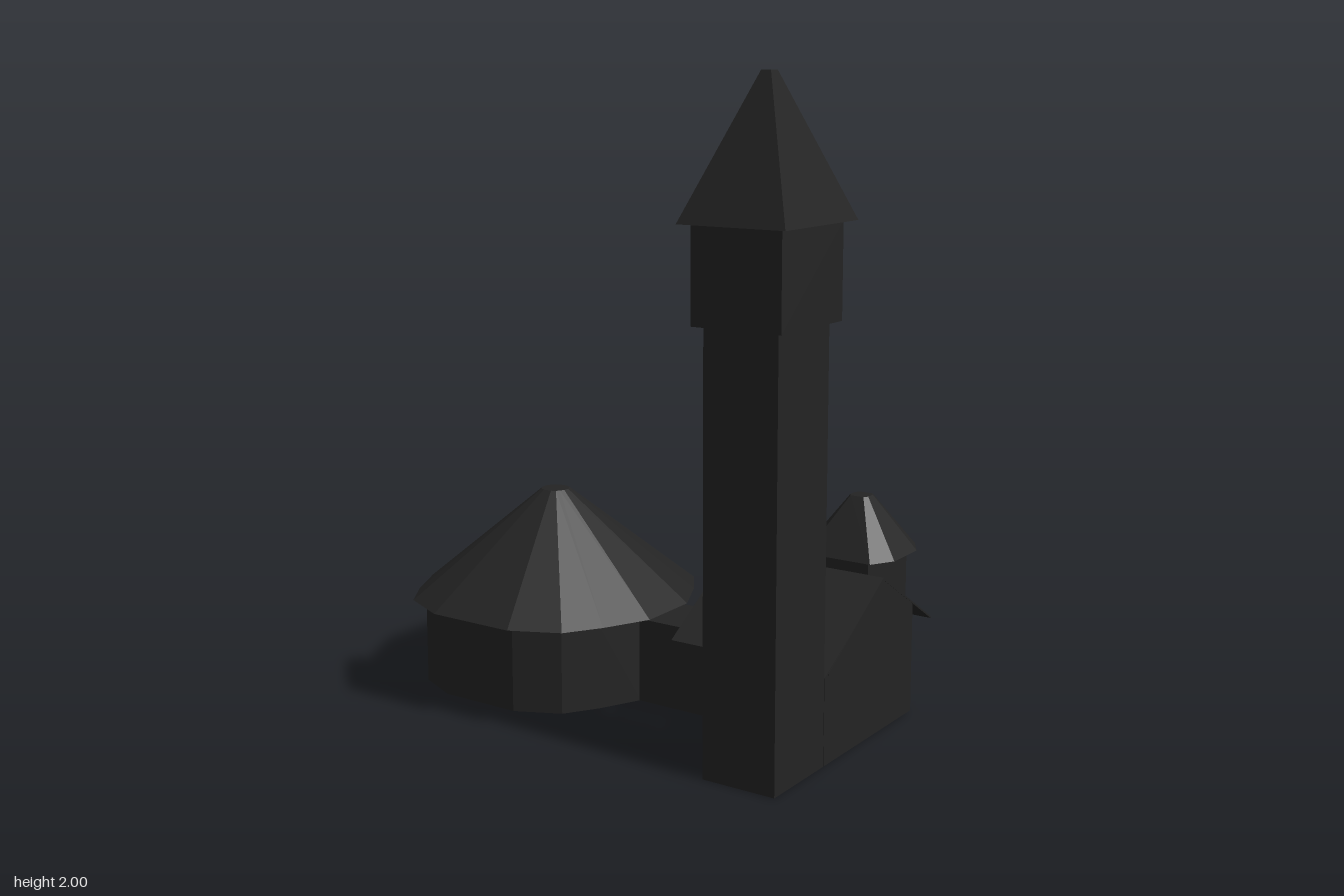
import * as THREE from 'three';

const stone = new THREE.MeshStandardMaterial({ color: 0x242424 });
stone.name = 'charcoal';

// Mirrors one quadrant of [x, z] points (from the z axis round to the x axis) into a full ring
function mirroredRing(quadrant) {
  const back = [...quadrant].reverse();
  return [
    ...quadrant,
    ...back.map(([x, z]) => [x, -z]),
    ...quadrant.map(([x, z]) => [-x, -z]),
    ...back.map(([x, z]) => [-x, z]),
  ];
}

function toShape(points) {
  return new THREE.Shape(points.map(([a, b]) => new THREE.Vector2(a, b)));
}

// Closed upright prism on a ring, scaled from s0 at y0 to s1 at y1
function taperedPrism(ring, y0, y1, s0, s1) {
  const h = y1 - y0;
  const g = new THREE.ExtrudeGeometry(toShape(ring), { depth: h, bevelEnabled: false });
  g.rotateX(-Math.PI / 2);
  const p = g.attributes.position;
  for (let i = 0; i < p.count; i++) {
    const s = THREE.MathUtils.lerp(s0, s1, p.getY(i) / h);
    p.setXYZ(i, p.getX(i) * s, p.getY(i) + y0, p.getZ(i) * s);
  }
  g.computeVertexNormals();
  return g;
}

// Extrudes a [z, y] section along x
function alongX(section, x0, x1) {
  const g = new THREE.ExtrudeGeometry(toShape(section), { depth: x1 - x0, bevelEnabled: false });
  return g.rotateY(-Math.PI / 2).translate(x1, 0, 0);
}

function block(x0, x1, y0, y1, z0, z1) {
  return new THREE.BoxGeometry(x1 - x0, y1 - y0, z1 - z0)
    .translate((x0 + x1) / 2, (y0 + y1) / 2, (z0 + z1) / 2);
}

function add(parent, name, geometry) {
  const mesh = new THREE.Mesh(geometry, stone);
  mesh.name = name;
  parent.add(mesh);
  return mesh;
}

function section(parent, name, x = 0, z = 0) {
  const g = new THREE.Group();
  g.name = name;
  g.position.set(x, 0, z);
  parent.add(g);
  return g;
}

export function createModel() {
  const model = new THREE.Group();
  model.name = 'castle';

  // Round house with a wide conical roof
  const round = section(model, 'roundHouse', -0.387, 0.188);
  const roundRing = mirroredRing([[0.151, 0.443], [0.308, 0.369], [0.383, 0.255], [0.456, 0.106]]);
  add(round, 'roundWall', taperedPrism(roundRing, 0, 0.278, 0.91, 0.91));
  add(round, 'roundRoof', taperedPrism(roundRing, 0.278, 0.625, 1, 0.098));

  // Small back turret
  const turret = section(model, 'backTurret', 0.336, -0.604);
  const turretRing = mirroredRing([[0.126, 0.167], [0.175, 0.083]]);
  add(turret, 'turretWall', taperedPrism(turretRing, 0, 0.347, 0.82, 0.82));
  add(turret, 'turretRoof', taperedPrism(turretRing, 0.347, 0.54, 1, 0.2));

  // Tall square tower
  const tower = section(model, 'tallTower');
  add(tower, 'towerShaft', block(0.545, 0.785, 0, 1.31, 0.437, 0.71));
  add(tower, 'towerLookout', block(0.522, 0.81, 1.31, 1.59, 0.41, 0.738));
  const spire = add(tower, 'towerSpire', taperedPrism(mirroredRing([[0.172, 0.196]]).filter((_, i) => i < 4), 1.59, 2, 1, 0.09));
  spire.position.set(0.666, 0, 0.573);

  // Hall, its inner gable and the thin overhanging roof
  const hall = section(model, 'hall');
  add(hall, 'hallWalls', alongX(
    [[0.435, 0], [0.435, 0.27], [0.083, 0.478], [-0.117, 0.352], [-0.117, 0]], 0.442, 0.785));
  add(hall, 'innerGable', alongX(
    [[0.29, 0], [0.29, 0.348], [0.083, 0.478], [-0.117, 0.352], [-0.117, 0]], 0.235, 0.442));
  add(hall, 'hallRoof', alongX(
    [[0.415, 0.276], [0.083, 0.484], [-0.245, 0.276], [-0.245, 0.27], [0.083, 0.477], [0.415, 0.27]], 0.235, 0.786));

  // Low passages to the round house and the turret
  add(model, 'sidePassage', block(-0.1, 0.3, 0, 0.273, 0.082, 0.29));
  add(model, 'backPassage', block(0.235, 0.442, 0, 0.273, -0.55, -0.1));

  return model;
}
